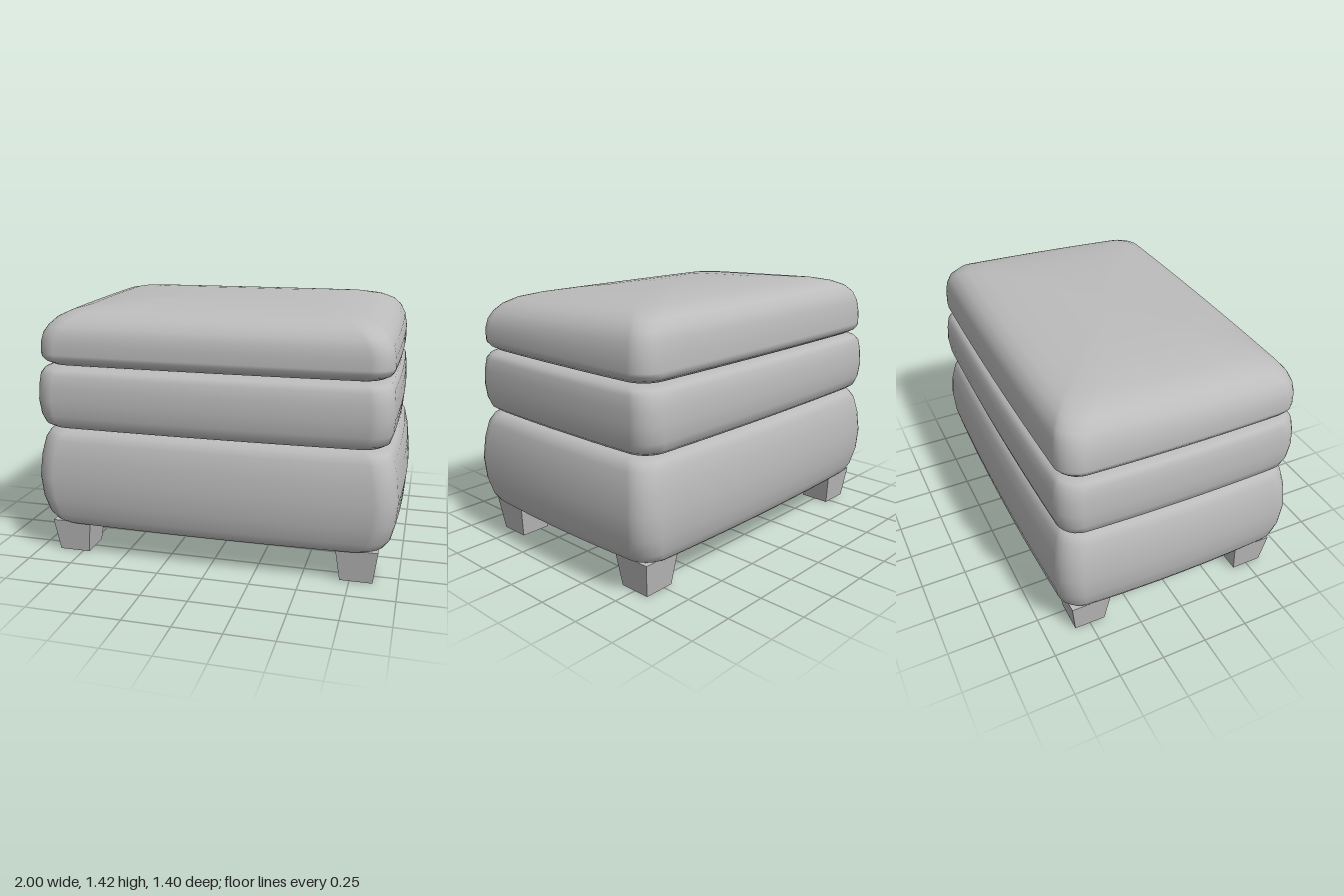
import * as THREE from 'three';

const SIDE = 10, CORNER = 6;

// Rounded rectangle outline whose straight edges bow outward a little
function outline(hx, hz, bow) {
  const r = Math.min(0.11, hx * 0.3, hz * 0.3), pts = [];
  const signs = [[1, 1], [-1, 1], [-1, -1], [1, -1]];
  const corner = (q, t) => {
    const a = (q + t) * Math.PI / 2;
    return [signs[q][0] * (hx - r) + r * Math.cos(a), signs[q][1] * (hz - r) + r * Math.sin(a)];
  };
  for (let q = 0; q < 4; q++) {
    for (let i = 0; i <= CORNER; i++) pts.push(corner(q, i / CORNER));
    const a = corner(q, 1), b = corner((q + 1) % 4, 0);
    for (let i = 1; i < SIDE; i++) {
      const t = i / SIDE;
      pts.push([a[0] + (b[0] - a[0]) * t, a[1] + (b[1] - a[1]) * t]);
    }
  }
  return pts.map(([x, z]) => [
    x - bow * (x / hx) * (z / hz) ** 2,
    z - bow * (z / hz) * (x / hx) ** 2,
  ]);
}

// Closed cushion lofted through rings of [y, half width, half depth]
function cushion(name, rings, bow, material, move) {
  const pos = [], index = [];
  const n = 4 * (SIDE + CORNER);
  rings.forEach(([y, hx, hz]) => {
    for (const [x, z] of outline(hx, hz, bow * hx)) pos.push(x, y, z);
  });
  for (let j = 0; j < rings.length - 1; j++) {
    for (let i = 0; i < n; i++) {
      const a = j * n + i, b = j * n + (i + 1) % n;
      index.push(a, a + n, b, b, a + n, b + n);
    }
  }
  const geo = new THREE.BufferGeometry();
  geo.setAttribute('position', new THREE.Float32BufferAttribute(pos, 3));
  geo.setIndex(index);
  if (move) {
    const p = geo.attributes.position;
    for (let i = 0; i < p.count; i++) p.setY(i, p.getY(i) + move(p.getX(i), p.getY(i), p.getZ(i)));
  }
  geo.computeVertexNormals();
  const mesh = new THREE.Mesh(geo, material);
  mesh.name = name;
  return mesh;
}

export function createModel() {
  const model = new THREE.Group();
  model.name = 'ottoman';
  const grey = new THREE.MeshStandardMaterial({ color: 0xbcbcbc });
  grey.name = 'light grey';
  const legGrey = grey.clone();
  legGrey.flatShading = true;
  legGrey.name = 'light grey legs';

  // Tall upholstered base with bulging sides
  model.add(cushion('base', [
    [0.18, 0.001, 0.001], [0.18, 0.86, 0.6], [0.18, 0.9, 0.64], [0.195, 0.935, 0.655],
    [0.24, 0.965, 0.675], [0.33, 0.988, 0.695], [0.45, 0.998, 0.702], [0.57, 0.985, 0.692],
    [0.66, 0.965, 0.672], [0.7, 0.942, 0.65], [0.717, 0.91, 0.62], [0.722, 0.85, 0.56], [0.722, 0.001, 0.001],
  ], 0.025, grey));

  // Middle cushion
  const middle = cushion('middleCushion', [
    [0.722, 0.001, 0.001], [0.722, 0.87, 0.58], [0.728, 0.915, 0.63], [0.75, 0.943, 0.66],
    [0.8, 0.96, 0.676], [0.88, 0.967, 0.685], [0.96, 0.963, 0.68], [1.02, 0.955, 0.67],
    [1.048, 0.938, 0.65], [1.06, 0.905, 0.62], [1.064, 0.85, 0.56], [1.064, 0.001, 0.001],
  ], 0.018, grey);
  middle.position.x = -0.01;
  model.add(middle);

  // Domed top cushion with an undercut lower edge, slightly fuller at the back
  const top = cushion('topCushion', [
    [1.062, 0.001, 0.001], [1.062, 0.84, 0.55], [1.07, 0.9, 0.61], [1.09, 0.93, 0.645],
    [1.112, 0.946, 0.659], [1.13, 0.949, 0.661], [1.19, 0.948, 0.66], [1.25, 0.935, 0.652],
    [1.295, 0.91, 0.635], [1.335, 0.87, 0.6], [1.363, 0.81, 0.55], [1.382, 0.73, 0.47],
    [1.397, 0.58, 0.36], [1.406, 0.4, 0.24], [1.411, 0.2, 0.12], [1.412, 0.001, 0.001],
  ], 0.015, grey, (x, y, z) => -0.035 * z * THREE.MathUtils.smoothstep(y, 1.15, 1.32));
  top.position.x = -0.007;
  model.add(top);

  // Four tapered square legs
  const legGeo = new THREE.CylinderGeometry(0.11 * Math.SQRT2, 0.086 * Math.SQRT2, 0.182, 4);
  legGeo.rotateY(Math.PI / 4);
  for (const [side, x] of [['left', 0.785], ['right', -0.8]]) {
    for (const [end, z] of [['Front', 0.5], ['Back', -0.5]]) {
      const leg = new THREE.Mesh(legGeo, legGrey);
      leg.name = `${side}${end}Leg`;
      leg.position.set(x, 0.091, z);
      model.add(leg);
    }
  }
  return model;
}
